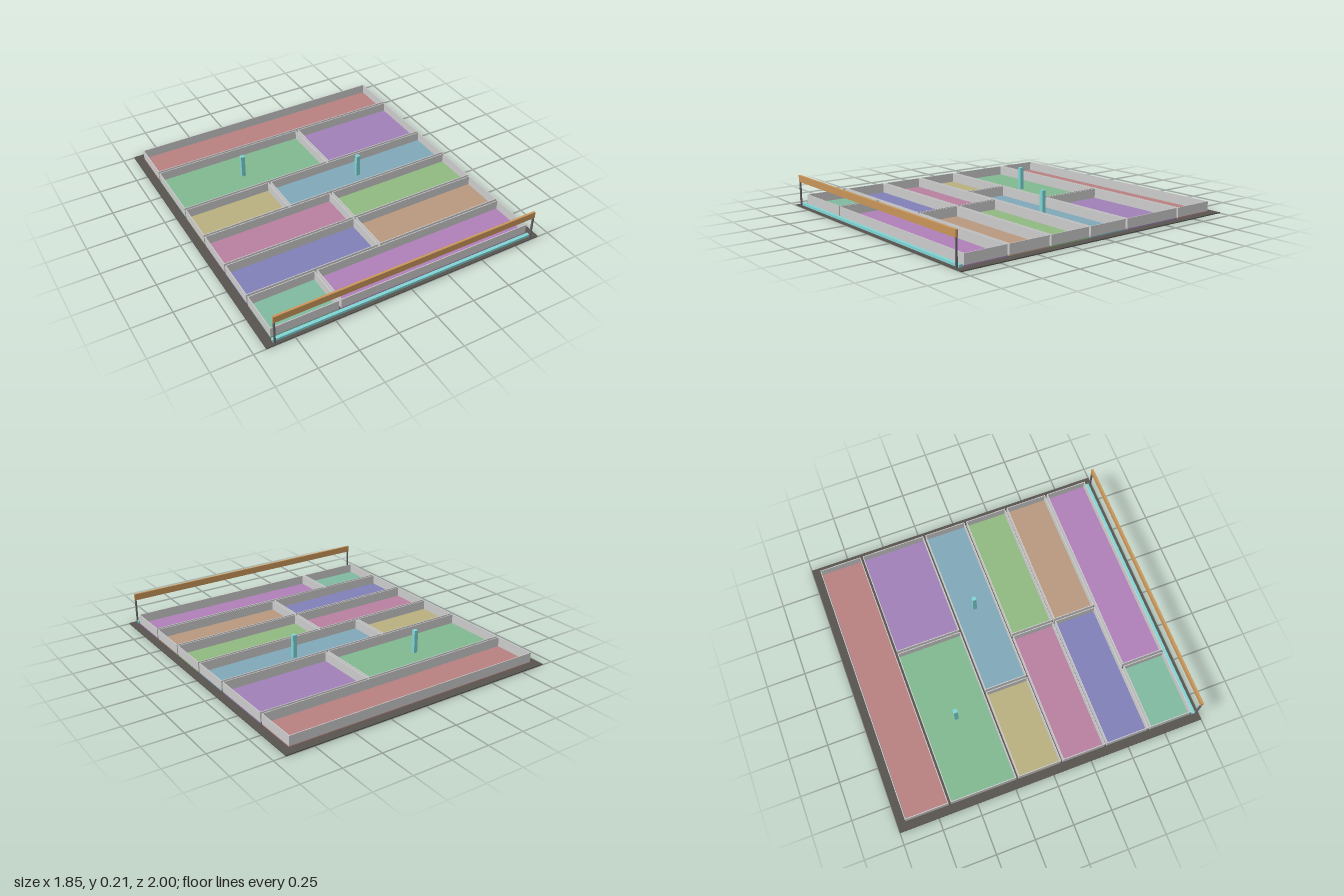
import * as THREE from 'three';

const BASE_TOP = 0.006, FLOOR_TOP = 0.013, WALL_TOP = 0.075, WALL = 0.005;
const HALF_W = 0.871, GAP = 0.014;

// Box given by its min and max corners
function box(name, color, [x0, y0, z0], [x1, y1, z1]) {
  const geometry = new THREE.BoxGeometry(x1 - x0, y1 - y0, z1 - z0);
  geometry.translate((x0 + x1) / 2, (y0 + y1) / 2, (z0 + z1) / 2);
  const mesh = new THREE.Mesh(geometry, new THREE.MeshStandardMaterial({ color }));
  mesh.name = name;
  return mesh;
}

// Open-topped room: coloured floor plate and a thin rectangular wall ring
function room(color, x0, x1, z0, z1) {
  const group = new THREE.Group();
  group.name = 'room';
  group.add(box('roomFloor', color, [x0, BASE_TOP, z0], [x1, FLOOR_TOP, z1]));

  const rect = (path, inset) => {
    const w = (x1 - x0) / 2 - inset, d = (z1 - z0) / 2 - inset;
    path.moveTo(-w, -d).lineTo(w, -d).lineTo(w, d).lineTo(-w, d).closePath();
    return path;
  };
  const shape = rect(new THREE.Shape(), 0);
  shape.holes.push(rect(new THREE.Path(), WALL));
  const geometry = new THREE.ExtrudeGeometry(shape, { depth: WALL_TOP - FLOOR_TOP, bevelEnabled: false });
  geometry.rotateX(-Math.PI / 2);
  const walls = new THREE.Mesh(geometry, new THREE.MeshStandardMaterial({ color: 0xcccccc }));
  walls.name = 'roomWalls';
  walls.position.set((x0 + x1) / 2, FLOOR_TOP, (z0 + z1) / 2);
  group.add(walls);
  return group;
}

export function createModel() {
  const model = new THREE.Group();
  model.name = 'floorPlan';

  // Dark ground slab
  model.add(box('baseSlab', 0x57534e, [-0.925, 0, -1], [0.925, BASE_TOP, 1]));

  // Rows of rooms from back to front: z range, dividing x, floor colours
  const rows = [
    { z: [-0.945, -0.667], colors: [0xb88080] },
    { z: [-0.652, -0.227], split: 0.148, colors: [0x80b890, 0xa080b8] },
    { z: [-0.212, 0.066], split: -0.29, colors: [0xb8b080, 0x80a8b8] },
    { z: [0.08, 0.358], split: 0, colors: [0xb880a0, 0x90b880] },
    { z: [0.372, 0.65], split: 0, colors: [0x8080b8, 0xb89880] },
    { z: [0.665, 0.943], split: -0.438, colors: [0x80b8a0, 0xb080b8] },
  ];
  for (const { z, split, colors } of rows) {
    if (split === undefined) {
      model.add(room(colors[0], -HALF_W, HALF_W, ...z));
    } else {
      model.add(room(colors[0], -HALF_W, split - GAP / 2, ...z));
      model.add(room(colors[1], split + GAP / 2, HALF_W, ...z));
    }
  }

  // Square pillars standing in two rooms
  for (const [x, z] of [[-0.37, -0.44], [0.29, -0.075]]) {
    model.add(box('pillar', 0x80d4d4, [x - 0.013, FLOOR_TOP, z - 0.013], [x + 0.013, 0.165, z + 0.013]));
  }

  // Low strip along the front edge
  model.add(box('frontStrip', 0x80d4d4, [-0.875, BASE_TOP, 0.957], [0.875, 0.022, 0.978]));

  // Raised beam on two end posts
  model.add(box('beam', 0xc8965a, [-0.875, 0.165, 0.982], [0.875, 0.208, 0.996]));
  for (const side of [-1, 1]) {
    const x = side * 0.869;
    model.add(box('beamPost', 0x6a6a6e, [x - 0.005, BASE_TOP, 0.984], [x + 0.005, 0.165, 0.994]));
  }
  return model;
}
